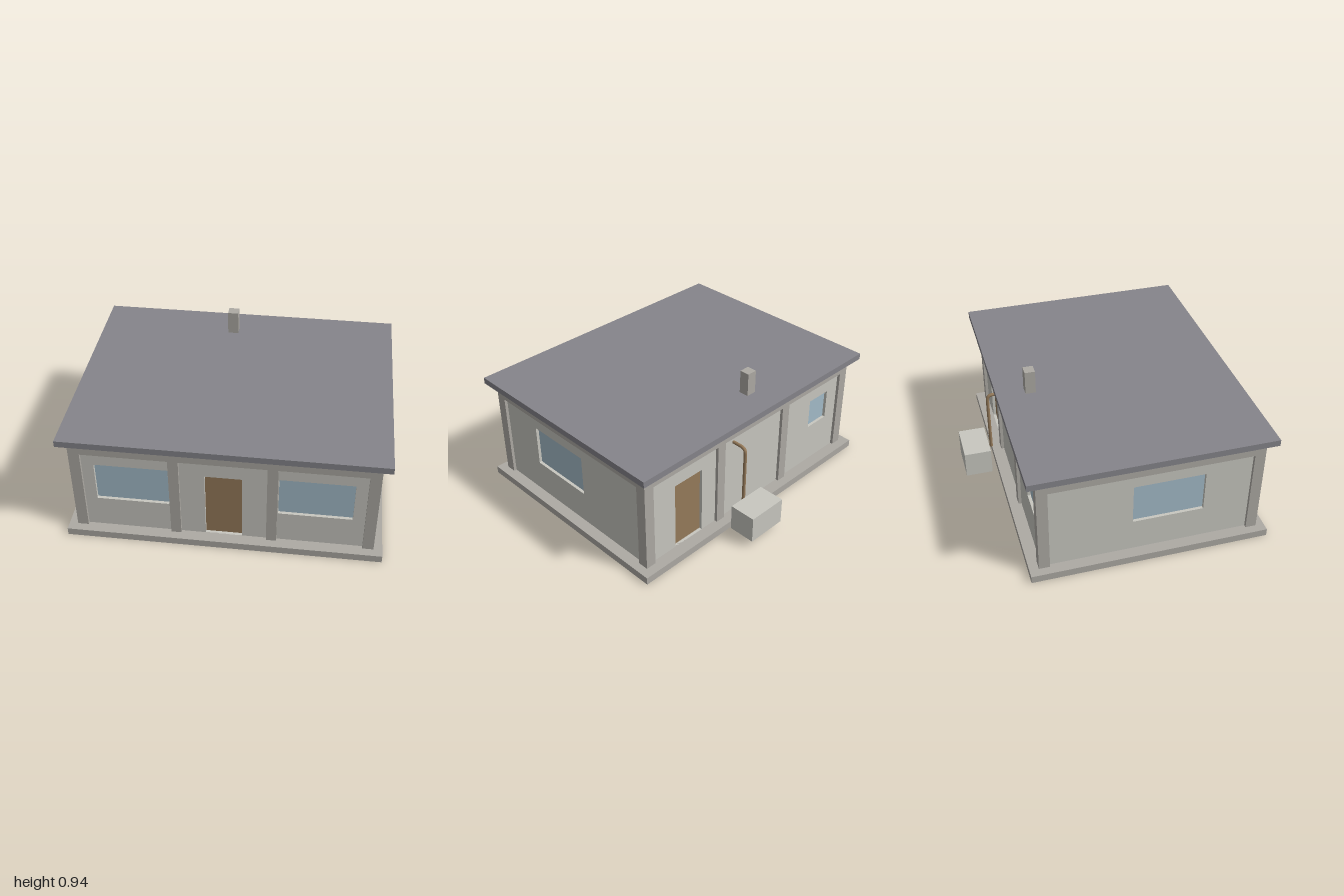
import * as THREE from 'three';

const mat = (name, color) => {
  const m = new THREE.MeshStandardMaterial({ color });
  m.name = name;
  return m;
};

export function createModel() {
  const house = new THREE.Group();
  house.name = 'house';
  const wallMat = mat('pale plaster', 0xc8c7c0);
  const frameMat = mat('grey concrete', 0xadaaa4);
  const roofMat = mat('slate roof', 0x86858b);
  const glassMat = mat('blue glass', 0xa4bcc9);
  const woodMat = mat('brown wood', 0x967b5b);

  // Box given by its min and max corners
  const box = (name, material, [x0, y0, z0], [x1, y1, z1], parent = house) => {
    const mesh = new THREE.Mesh(new THREE.BoxGeometry(x1 - x0, y1 - y0, z1 - z0), material);
    mesh.position.set((x0 + x1) / 2, (y0 + y1) / 2, (z0 + z1) / 2);
    mesh.name = name;
    parent.add(mesh);
    return mesh;
  };

  // Rectangle outline with slightly rounded corners
  const roundedRect = (x0, y0, x1, y1, r) => {
    const p = new THREE.Path();
    p.moveTo(x0 + r, y0);
    p.lineTo(x1 - r, y0);
    p.quadraticCurveTo(x1, y0, x1, y0 + r);
    p.lineTo(x1, y1 - r);
    p.quadraticCurveTo(x1, y1, x1 - r, y1);
    p.lineTo(x0 + r, y1);
    p.quadraticCurveTo(x0, y1, x0, y1 - r);
    p.lineTo(x0, y0 + r);
    p.quadraticCurveTo(x0, y0, x0 + r, y0);
    return p;
  };

  // Base slab and flat roof
  box('baseSlab', frameMat, [-1, 0, -0.66], [1, 0.05, 0.885]);
  box('roof', roofMat, [-1, 0.735, -0.66], [1, 0.777, 0.885]);

  // Walls are laid out around the centre of the body
  const body = new THREE.Group();
  body.name = 'body';
  body.position.z = 0.115;
  house.add(body);
  const HX = 0.945, HZ = 0.715, POST = 0.07, RECESS = 0.02, WALL = 0.05;

  // One facade: recessed wall with openings, top beam, and optional inner posts
  const facade = (name, angle, halfWidth, dist, openings, innerPosts) => {
    const side = new THREE.Group();
    side.name = name;
    side.rotation.y = angle;
    body.add(side);
    const w = halfWidth - RECESS, face = dist - RECESS;
    const shape = new THREE.Shape();
    shape.moveTo(-w, 0.03);
    shape.lineTo(w, 0.03);
    shape.lineTo(w, 0.74);
    shape.lineTo(-w, 0.74);
    shape.closePath();
    for (const { kind, x0, x1, y0, y1 } of openings) {
      const isDoor = kind === 'door';
      shape.holes.push(roundedRect(x0, y0, x1, y1, isDoor ? 0.0005 : 0.006));
      const e = 0.004;
      box(kind, isDoor ? woodMat : glassMat,
        [x0 - e, y0 - e, face - 0.028], [x1 + e, y1 + e, face - 0.02], side);
    }
    const wall = new THREE.Mesh(
      new THREE.ExtrudeGeometry(shape, { depth: WALL, bevelEnabled: false, curveSegments: 3 }), wallMat);
    wall.position.z = face - WALL;
    wall.name = 'wall';
    side.add(wall);
    const inner = halfWidth - POST;
    box('topBeam', frameMat, [-inner, 0.64, dist - POST], [inner, 0.735, dist], side);
    if (innerPosts) {
      for (const s of [-1, 1]) {
        box('innerPost', frameMat, [s * 0.3025 - 0.0325, 0.05, dist - POST], [s * 0.3025 + 0.0325, 0.64, dist], side);
      }
    }
  };

  const win = (x0, x1, y0 = 0.272, y1 = 0.55) => ({ kind: 'window', x0, x1, y0, y1 });
  const door = (x0, x1) => ({ kind: 'door', x0, x1, y0: 0.05, y1: 0.527 });
  facade('frontFacade', 0, HX, HZ, [win(-0.8, -0.34), door(-0.115, 0.115), win(0.34, 0.8)], true);
  facade('backFacade', Math.PI, HX, HZ, [door(-0.685, -0.455), win(0.585, 0.77, 0.33, 0.54)], true);
  facade('leftFacade', Math.PI / 2, HZ, HX, [win(-0.345, 0.115)], false);
  facade('rightFacade', -Math.PI / 2, HZ, HX, [win(-0.115, 0.345)], false);

  // Corner posts
  for (const sx of [-1, 1]) {
    for (const sz of [-1, 1]) {
      const x = sx * (HX - POST / 2), z = sz * (HZ - POST / 2), h = POST / 2;
      box('cornerPost', frameMat, [x - h, 0.05, z - h], [x + h, 0.735, z + h], body);
    }
  }

  // Chimney and the box unit behind the house
  box('chimney', frameMat, [-0.128, 0.77, -0.475], [-0.058, 0.935, -0.408]);
  box('outdoorUnit', wallMat, [0.04, 0.05, -0.885], [0.315, 0.23, -0.705]);

  // Pipe leaving the back wall and turning down
  const v = (y, z) => new THREE.Vector3(0.179, y, z);
  const path = new THREE.CurvePath();
  path.add(new THREE.LineCurve3(v(0.595, -0.57), v(0.595, -0.642)));
  path.add(new THREE.QuadraticBezierCurve3(v(0.595, -0.642), v(0.595, -0.682), v(0.555, -0.682)));
  path.add(new THREE.LineCurve3(v(0.555, -0.682), v(0.163, -0.682)));
  const pipe = new THREE.Mesh(new THREE.TubeGeometry(path, 64, 0.011, 12), woodMat);
  pipe.name = 'pipe';
  house.add(pipe);
  const cap = new THREE.Mesh(new THREE.CircleGeometry(0.011, 12), woodMat);
  cap.rotation.x = Math.PI / 2;
  cap.position.copy(v(0.163, -0.682));
  cap.name = 'pipeEnd';
  house.add(cap);

  return house;
}
